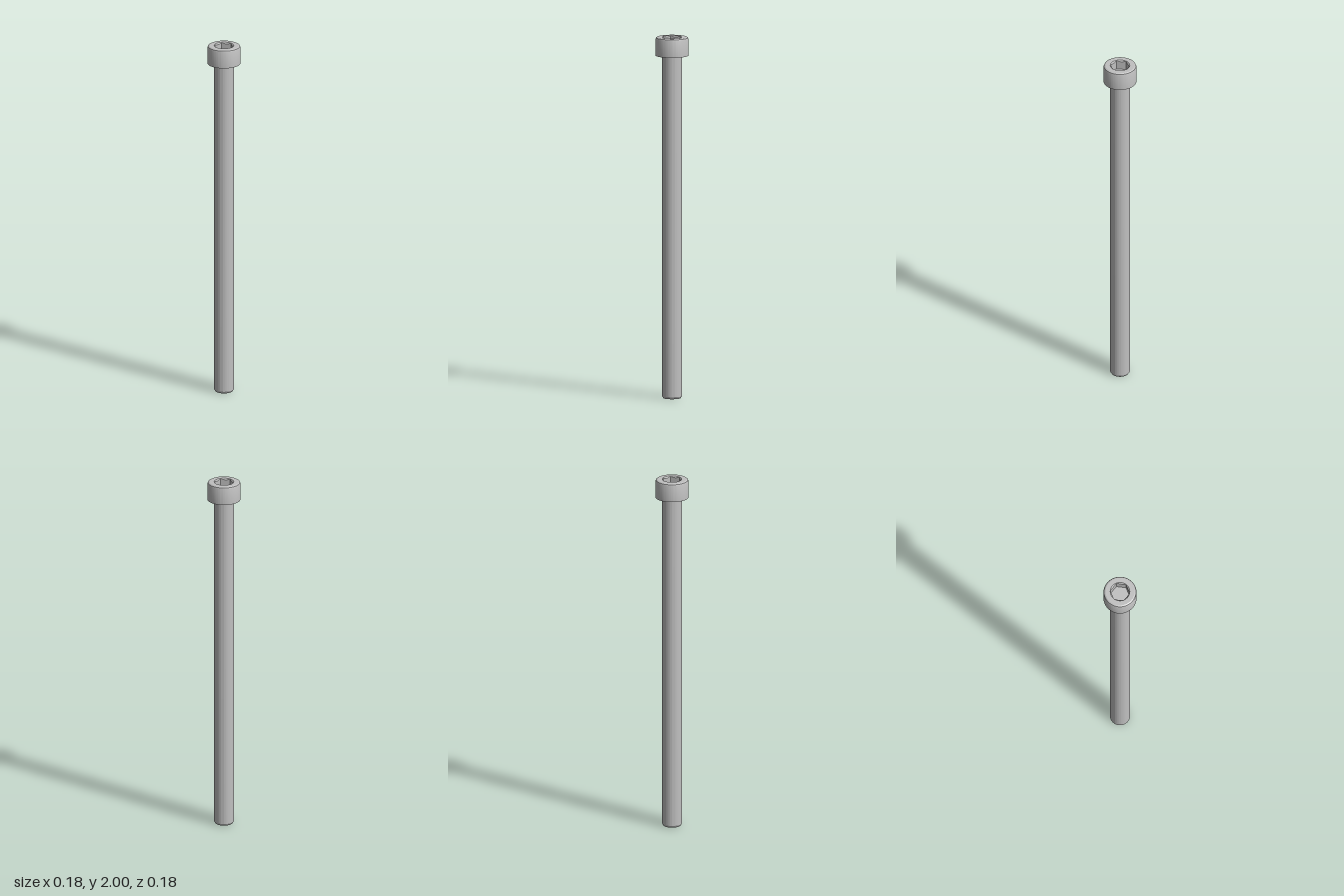
import * as THREE from 'three';
import { toCreasedNormals } from 'three/addons/utils/BufferGeometryUtils.js';

const SEGMENTS = 96;
const SOCKET_R = 0.0535; // corner radius of the hex socket
const TOP = 2, HEAD_BOTTOM = 1.897, SOCKET_FLOOR = 1.945;

// Surface of revolution from [radius, height] pairs, listed bottom to top
function turned(points) {
  const profile = points.map(([r, y]) => new THREE.Vector2(r, y));
  return toCreasedNormals(new THREE.LatheGeometry(profile, SEGMENTS), 0.45);
}

// Hexagonal recess with a conical lead-in, made of rings from rim to floor centre
function socketGeometry() {
  const hexRadius = (a) => {
    const sector = Math.PI / 3;
    return SOCKET_R * Math.cos(sector / 2) / Math.cos((a % sector) - sector / 2);
  };
  const rings = [
    () => [SOCKET_R, TOP],
    (h) => [h, TOP - (SOCKET_R - h)],
    (h) => [h, SOCKET_FLOOR],
    () => [0, SOCKET_FLOOR],
  ];
  const positions = [], index = [];
  for (const ring of rings) {
    for (let i = 0; i < SEGMENTS; i++) {
      const a = (i / SEGMENTS) * Math.PI * 2;
      const [r, y] = ring(hexRadius(a));
      positions.push(r * Math.cos(a), y, r * Math.sin(a));
    }
  }
  for (let k = 0; k < rings.length - 1; k++) {
    for (let i = 0; i < SEGMENTS; i++) {
      const j = (i + 1) % SEGMENTS;
      const a = k * SEGMENTS + i, b = k * SEGMENTS + j;
      const c = a + SEGMENTS, d = b + SEGMENTS;
      index.push(a, c, b);
      if (k < rings.length - 2) index.push(b, c, d);
    }
  }
  const geometry = new THREE.BufferGeometry();
  geometry.setAttribute('position', new THREE.Float32BufferAttribute(positions, 3));
  geometry.setIndex(index);
  return toCreasedNormals(geometry, 0.45);
}

export function createModel() {
  const steel = new THREE.MeshStandardMaterial({ color: 0xc0c0c0 });
  steel.name = 'steel';
  const model = new THREE.Group();
  model.name = 'socketHeadBolt';
  const add = (name, geometry) => {
    const mesh = new THREE.Mesh(geometry, steel);
    mesh.name = name;
    model.add(mesh);
  };

  // Plain shank with a chamfered tip
  add('shank', turned([[0, 0], [0.048, 0], [0.055, 0.012], [0.055, HEAD_BOTTOM]]));

  // Cylindrical head with a softened top edge, open at the socket
  add('head', turned([
    [0.055, HEAD_BOTTOM], [0.0905, HEAD_BOTTOM], [0.0905, 1.988],
    [0.0875, 1.996], [0.08, TOP], [SOCKET_R, TOP],
  ]));

  add('hexSocket', socketGeometry());

  // The socket is turned slightly about the axis
  model.rotation.y = THREE.MathUtils.degToRad(-6.5);
  return model;
}
